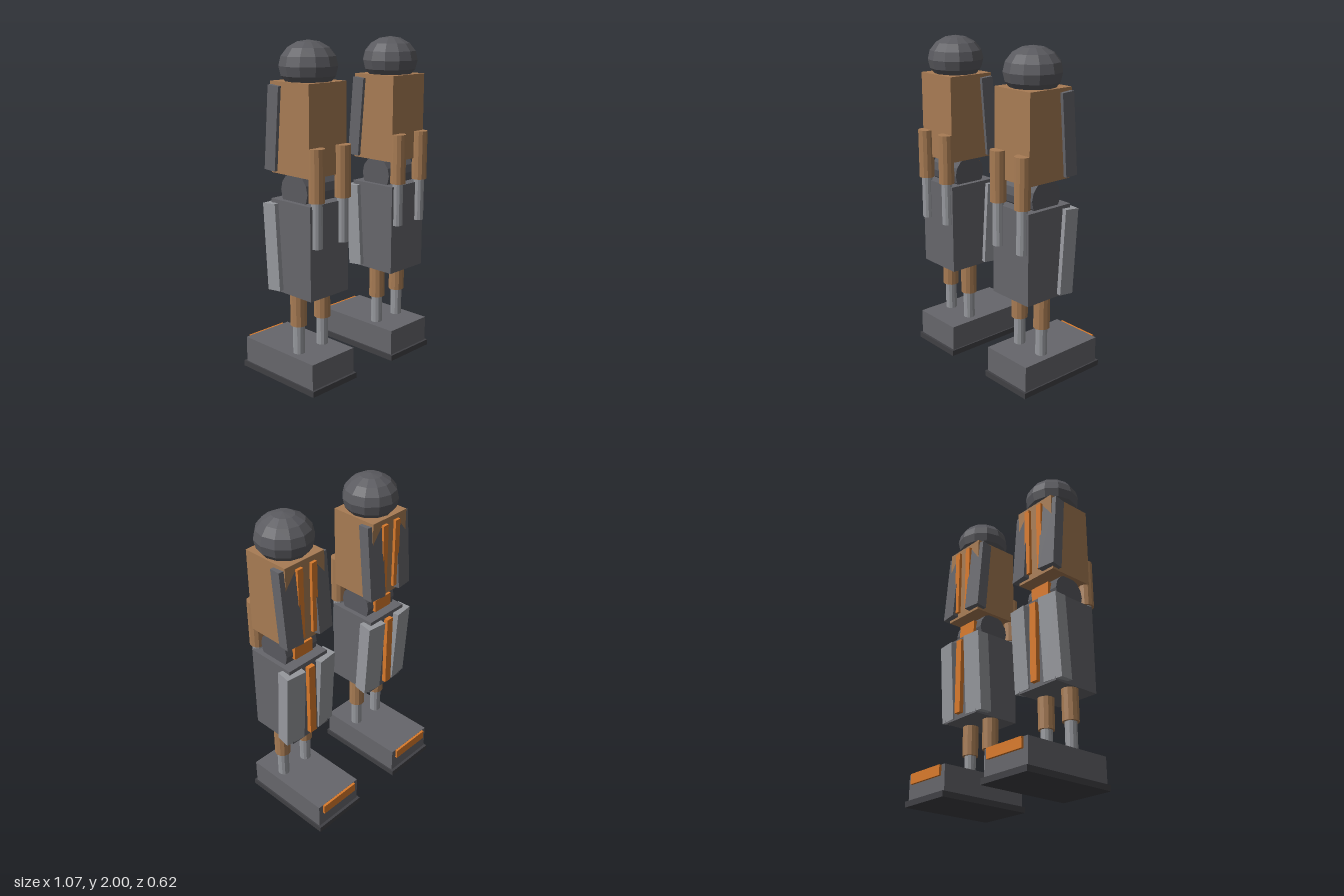
import * as THREE from 'three';

const mat = (color) => new THREE.MeshStandardMaterial({ color, flatShading: true });

export function createModel() {
  const dark = mat(0x66666b);
  const sole = mat(0x404044);
  const joint = mat(0x5a5a5f);
  const light = mat(0x97999e);
  const tan = mat(0xa87c54);
  const orange = mat(0xd97a2b);

  function add(parent, name, geometry, material, x, y, z) {
    const mesh = new THREE.Mesh(geometry, material);
    mesh.name = name;
    mesh.position.set(x, y, z);
    parent.add(mesh);
    return mesh;
  }

  // Box given by centre x, width, and its y and z ranges
  const box = (parent, name, material, x, w, y0, y1, z0, z1) =>
    add(parent, name, new THREE.BoxGeometry(w, y1 - y0, z1 - z0), material,
      x, (y0 + y1) / 2, (z0 + z1) / 2);

  // Upright rod given by radius and y range
  const rod = (parent, name, material, r, x, y0, y1, z) =>
    add(parent, name, new THREE.CylinderGeometry(r, r, y1 - y0, 12), material,
      x, (y0 + y1) / 2, z);

  // Armour panel leaning by pitch, its outer edge turned forward
  function panel(parent, name, material, side, x, y, z, size, pitch) {
    const mesh = add(parent, name, new THREE.BoxGeometry(...size), material, side * x, y, z);
    mesh.rotation.set(pitch, -side * 0.11, 0);
  }

  function makeLeg(name, x) {
    const leg = new THREE.Group();
    leg.name = name;
    leg.position.x = x;

    // Foot
    box(leg, 'sole', sole, 0, 0.36, 0, 0.035, -0.313, 0.305);
    box(leg, 'foot', dark, 0, 0.34, 0.035, 0.193, -0.295, 0.29);
    box(leg, 'heelPlate', orange, 0, 0.275, 0.13, 0.192, -0.31, -0.285);

    // Shin
    box(leg, 'shin', dark, 0, 0.3, 0.56, 1.11, -0.06, 0.26);
    box(leg, 'shinStrip', orange, 0, 0.05, 0.59, 1.08, -0.088, -0.05);

    // Knee
    const knee = add(leg, 'knee', new THREE.CylinderGeometry(0.108, 0.108, 0.24, 14),
      joint, 0, 1.165, 0.1);
    knee.rotation.z = Math.PI / 2;
    box(leg, 'kneePlate', orange, 0, 0.14, 1.135, 1.217, -0.024, 0.02);

    // Thigh and hip ball
    box(leg, 'thigh', tan, 0, 0.29, 1.262, 1.777, -0.055, 0.252);
    const hip = add(leg, 'hipBall', new THREE.SphereGeometry(0.169, 12, 8), joint, 0, 1.86, 0.1);
    hip.scale.y = 0.14 / 0.169;

    // Paired pistons, panels and strips
    for (const side of [-1, 1]) {
      rod(leg, 'ankleRod', light, 0.036, side * 0.096, 0.18, 0.38, 0.1);
      rod(leg, 'ankleSleeve', tan, 0.05, side * 0.096, 0.368, 0.57, 0.1);
      rod(leg, 'kneeRod', light, 0.033, side * 0.102, 0.867, 1.14, 0.264);
      rod(leg, 'kneeSleeve', tan, 0.047, side * 0.102, 1.13, 1.43, 0.264);
      panel(leg, 'shinPanel', light, side, 0.121, 0.83, -0.033, [0.13, 0.515, 0.09], -0.062);
      panel(leg, 'thighPanel', dark, side, 0.115, 1.517, -0.03, [0.115, 0.48, 0.077], 0.085);
      box(leg, 'thighStrip', orange, side * 0.052, 0.04, 1.3, 1.745, -0.074, -0.04);
    }
    return leg;
  }

  const model = new THREE.Group();
  model.name = 'mechanicalLegs';
  model.add(makeLeg('leftLeg', 0.343), makeLeg('rightLeg', -0.343));
  return model;
}
